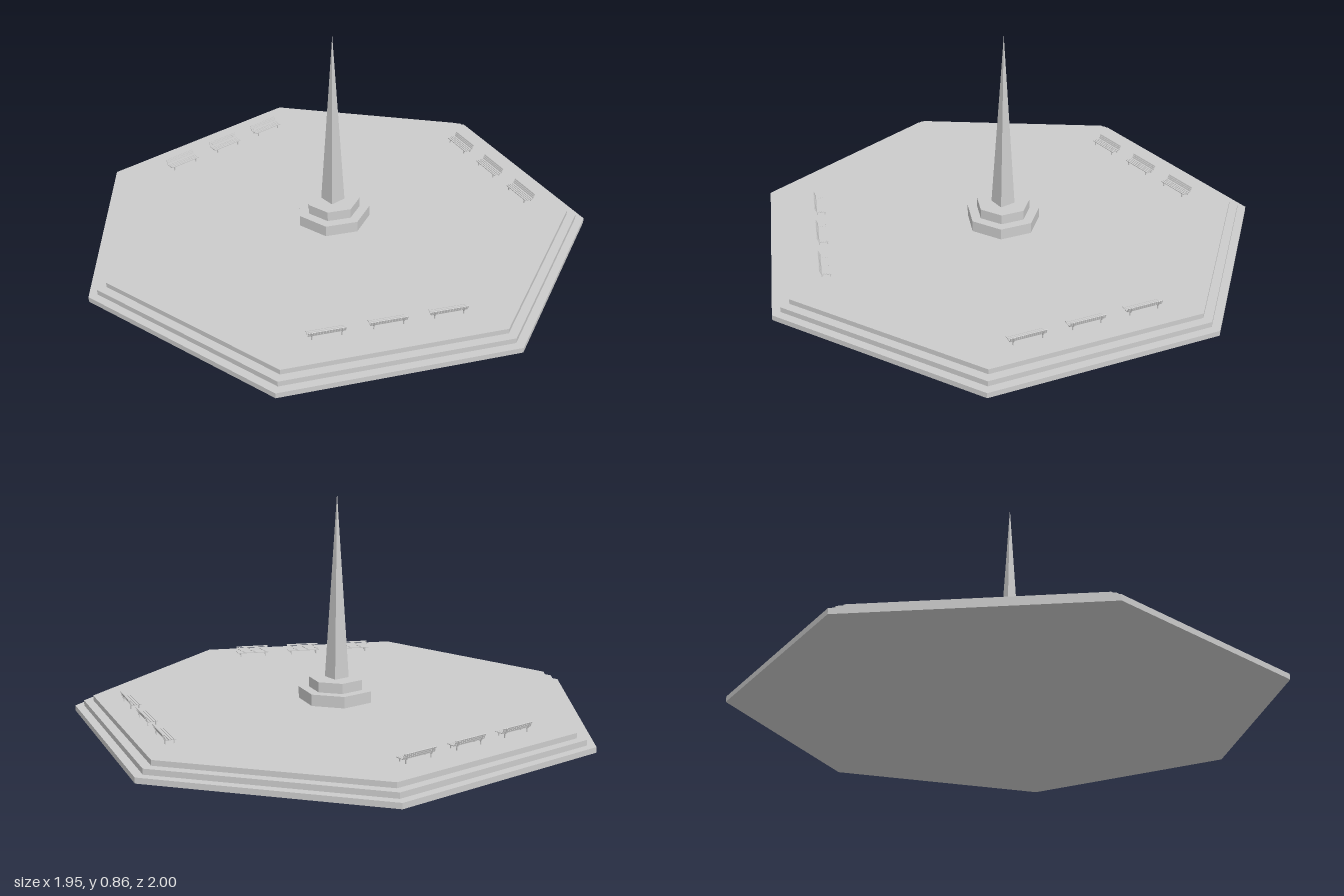
import * as THREE from 'three';

const CX = -0.05; // axis of the plaza and monument
const FLOOR = 0.062;
const grey = new THREE.MeshStandardMaterial({ color: 0xcccccc, flatShading: true });

function add(parent, name, geometry, x = 0, y = 0, z = 0) {
  const mesh = new THREE.Mesh(geometry, grey);
  mesh.name = name;
  mesh.position.set(x, y, z);
  parent.add(mesh);
  return mesh;
}

// seven-sided slab with one corner pointing to +x
function slab(parent, name, radius, y0, y1) {
  const geometry = new THREE.CylinderGeometry(radius, radius, y1 - y0, 7, 1, false, Math.PI / 2);
  add(parent, name, geometry, CX, (y0 + y1) / 2, 0);
}

// park bench along x, facing +z, standing on y = 0
function createBench() {
  const bench = new THREE.Group();
  bench.name = 'bench';
  const length = 0.138;
  for (let i = 0; i < 4; i++) {
    add(bench, 'seatSlat', new THREE.BoxGeometry(length, 0.003, 0.0075), 0, 0.0175, -0.009 + i * 0.0095);
  }
  const lean = -0.35;
  for (let i = 0; i < 3; i++) {
    const slat = add(bench, 'backSlat', new THREE.BoxGeometry(length, 0.0055, 0.003),
      0, 0.022 + i * 0.0065, -0.0145 - i * 0.0028);
    slat.rotation.x = lean;
  }
  for (const side of [-1, 1]) {
    const x = side * 0.055;
    for (const z of [-0.012, 0.019]) {
      add(bench, 'leg', new THREE.BoxGeometry(0.004, 0.016, 0.004), x, 0.008, z);
    }
    add(bench, 'seatRail', new THREE.BoxGeometry(0.004, 0.003, 0.036), x, 0.0145, 0.004);
    const post = add(bench, 'backPost', new THREE.BoxGeometry(0.004, 0.022, 0.003), x, 0.0255, -0.0185);
    post.rotation.x = lean;
  }
  return bench;
}

export function createModel() {
  const model = new THREE.Group();
  model.name = 'monumentPlaza';

  // stepped plaza
  slab(model, 'lowerStep', 1.026, 0, 0.021);
  slab(model, 'middleStep', 0.991, 0.021, 0.042);
  slab(model, 'plazaFloor', 0.954, 0.042, FLOOR);

  // pedestal
  slab(model, 'pedestalBase', 0.148, FLOOR, 0.107);
  slab(model, 'pedestalTop', 0.108, 0.107, 0.147);

  // four-sided spire
  const spireHeight = 0.715;
  add(model, 'spire', new THREE.ConeGeometry(0.033 * Math.SQRT2, spireHeight, 4, 1, false, Math.PI / 4),
    CX, 0.147 + spireHeight / 2, 0);

  // three rows of benches, each along one edge: middle x, middle z, outward angle
  const step = Math.PI / 7;
  const rows = [[-0.784, 0, 7 * step], [0.123, -0.738, -3 * step], [0.605, 0.306, step]];
  for (const [x, z, angle] of rows) {
    const nx = Math.cos(angle), nz = Math.sin(angle);
    const row = new THREE.Group();
    row.name = 'benchRow';
    row.position.set(x, FLOOR, z);
    row.rotation.y = Math.atan2(-nx, -nz);
    for (const i of [-1, 0, 1]) {
      const bench = createBench();
      bench.position.x = i * 0.226;
      row.add(bench);
    }
    model.add(row);
  }
  return model;
}
